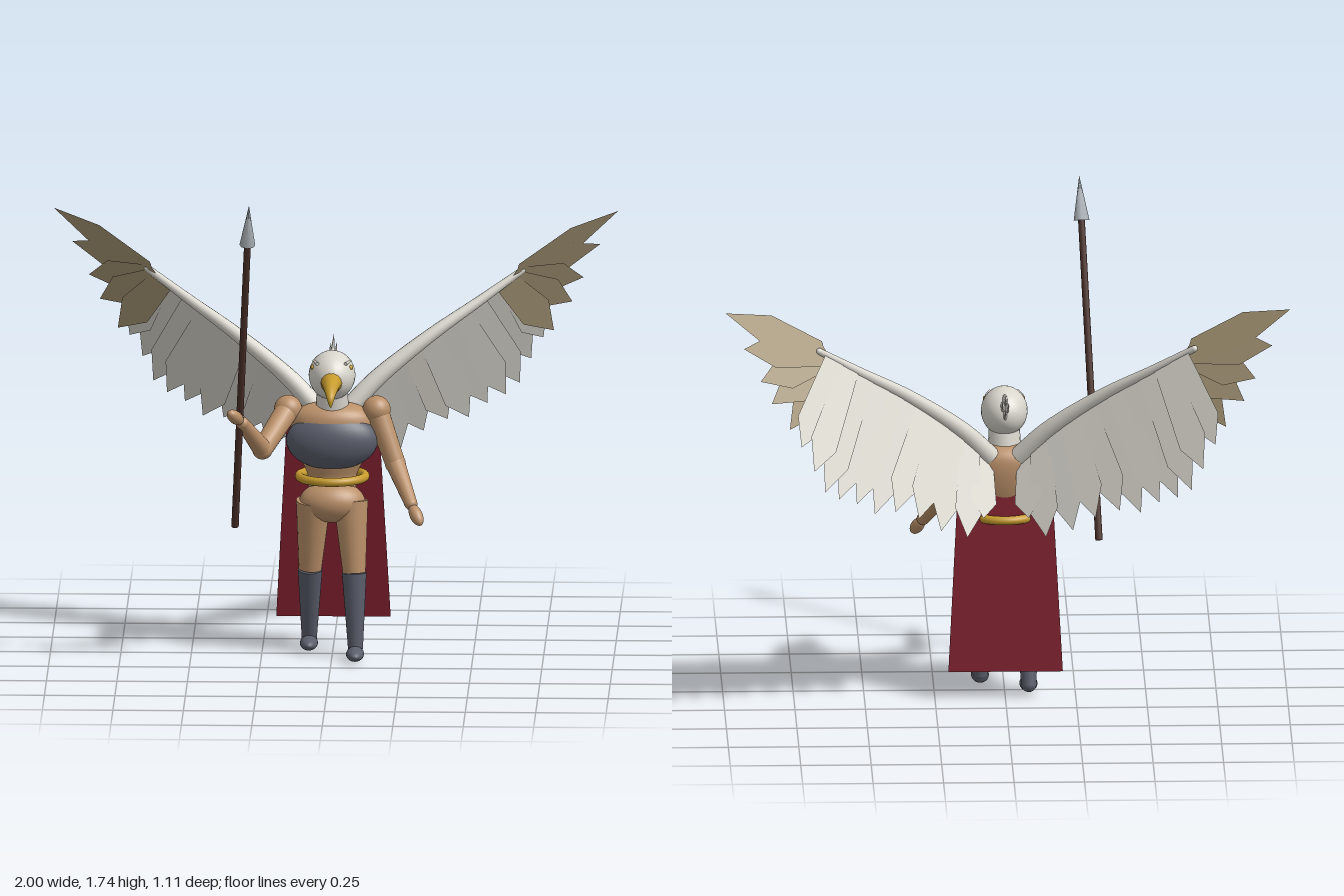
import * as THREE from 'three';

const V = (x, y, z) => new THREE.Vector3(x, y, z);
const mat = (name, color, side = THREE.FrontSide) => {
  const m = new THREE.MeshStandardMaterial({ color, side });
  m.name = name;
  return m;
};

export function createModel() {
  const root = new THREE.Group();
  root.name = 'wingedWarrior';

  const skin = mat('tan skin', 0xba9069);
  const armour = mat('slate armour', 0x5a5e6b);
  const plume = mat('white plumage', 0xd9d6cd, THREE.DoubleSide);
  const brown = mat('brown flight feathers', 0xa59575, THREE.DoubleSide);
  const gold = mat('gold', 0xc79c2e, THREE.DoubleSide);
  const red = mat('red cape', 0x7c1f2c, THREE.DoubleSide);
  const wood = mat('dark wood', 0x4a3029);
  const steel = mat('steel', 0xa9b0b5);

  const add = (parent, name, geo, material) => {
    const m = new THREE.Mesh(geo, material);
    m.name = name;
    parent.add(m);
    return m;
  };
  const part = (name) => {
    const g = new THREE.Group();
    g.name = name;
    root.add(g);
    return g;
  };
  const ellipsoid = (parent, name, c, r, material, dir) => {
    const m = add(parent, name, new THREE.SphereGeometry(1, 28, 18), material);
    m.scale.copy(r);
    m.position.copy(c);
    if (dir) m.quaternion.setFromUnitVectors(V(0, 1, 0), dir.clone().normalize());
    return m;
  };
  // Tapered cylinder from a (radius ra) to b (radius rb)
  const limb = (parent, name, a, b, ra, rb, material, sides = 20) => {
    const d = b.clone().sub(a);
    const m = add(parent, name, new THREE.CylinderGeometry(rb, ra, d.length(), sides), material);
    m.position.copy(a).addScaledVector(d, 0.5);
    m.quaternion.setFromUnitVectors(V(0, 1, 0), d.normalize());
    return m;
  };
  const ball = (parent, name, c, r, material) => ellipsoid(parent, name, c, V(r, r, r), material);
  // Tube along a curve whose radius follows radius(t)
  const taperTube = (curve, radius, segs = 28, sides = 14) => {
    const g = new THREE.TubeGeometry(curve, segs, 1, sides);
    const p = g.attributes.position, v = V(0, 0, 0);
    for (let i = 0; i < p.count; i++) {
      const t = Math.floor(i / (sides + 1)) / segs;
      const c = curve.getPointAt(t);
      v.fromBufferAttribute(p, i).sub(c).multiplyScalar(radius(t)).add(c);
      p.setXYZ(i, v.x, v.y, v.z);
    }
    return g;
  };

  // Torso, breastplate, hips and belt
  const body = part('body');
  const profile = [[0.085, 0.57], [0.085, 0.64], [0.1, 0.68], [0.132, 0.75], [0.147, 0.82], [0.135, 0.875], [0.08, 0.905], [0, 0.91]];
  const torso = add(body, 'torso', new THREE.LatheGeometry(
    new THREE.SplineCurve(profile.map(([x, y]) => new THREE.Vector2(x, y))).getPoints(28), 36), skin);
  torso.scale.z = 0.62;
  torso.position.z = 0.005;
  ellipsoid(body, 'breastplate', V(0, 0.78, 0.037), V(0.163, 0.105, 0.079), armour);
  ellipsoid(body, 'hips', V(0, 0.555, 0.02), V(0.117, 0.074, 0.085), skin);
  const belt = add(body, 'belt', new THREE.TorusGeometry(0.117, 0.016, 12, 44), gold);
  belt.rotation.x = Math.PI / 2;
  belt.position.set(0, 0.648, 0.018);
  limb(body, 'neck', V(0, 0.87, 0.01), V(0, 0.96, 0.025), 0.06, 0.055, plume);

  // Head with hooked beak, eyes and crest
  const head = part('head');
  ellipsoid(head, 'skull', V(0, 1.017, 0.035), V(0.083, 0.087, 0.108), plume);
  const beakPath = new THREE.CatmullRomCurve3([V(0, 1.008, 0.1), V(0, 1.005, 0.15), V(0, 0.988, 0.2), V(0, 0.967, 0.222), V(0, 0.937, 0.219)]);
  add(head, 'beak', taperTube(beakPath, (t) => 0.042 * (1 - t) ** 0.8 + 0.002), gold);
  limb(head, 'lowerBeak', V(0, 0.975, 0.1), V(0, 0.965, 0.185), 0.024, 0.002, gold);
  for (const s of [1, -1]) {
    ellipsoid(head, 'eye', V(s * 0.067, 1.052, 0.073), V(0.008, 0.009, 0.012), gold);
    limb(head, 'brow', V(s * 0.05, 1.07, 0.1), V(s * 0.066, 1.071, 0.045), 0.006, 0.003, plume);
  }
  for (const [x, y, z] of [[0, 1.118, -0.187], [0.012, 1.095, -0.165], [-0.012, 1.09, -0.16], [0, 1.06, -0.14]]) {
    const f = limb(head, 'crestFeather', V(x * 0.5, y - 0.05, -0.03), V(x, y, z), 0.026, 0.001, plume, 10);
    f.scale.x = 0.4;
  }

  // Arms: shoulder, elbow, wrist, hand centre
  const arms = {
    leftArm: [V(0.157, 0.887, 0.01), V(0.225, 0.7, 0.05), V(0.284, 0.582, 0.18), V(0.303, 0.548, 0.212)],
    rightArm: [V(-0.157, 0.887, 0.01), V(-0.243, 0.775, 0.17), V(-0.31, 0.895, 0.298), V(-0.335, 0.924, 0.335)],
  };
  for (const [name, [sh, el, wr, ha]] of Object.entries(arms)) {
    const g = part(name);
    ball(g, 'shoulder', sh, 0.05, skin);
    limb(g, 'upperArm', sh, el, 0.042, 0.036, skin);
    ball(g, 'elbow', el, 0.037, skin);
    limb(g, 'forearm', el, wr, 0.035, 0.023, skin);
    ball(g, 'wrist', wr, 0.023, skin);
    ellipsoid(g, 'hand', ha, V(0.023, 0.045, 0.023), skin, ha.clone().sub(wr));
  }

  // Legs in stride: left forward, right back
  for (const [name, s, kz, az, fy] of [['leftLeg', 1, 0.055, 0.073, 0.024], ['rightLeg', -1, -0.01, -0.078, 0.032]]) {
    const g = part(name);
    const knee = V(s * 0.079, 0.305, kz), ankle = V(s * 0.084, 0.04, az);
    limb(g, 'thigh', V(s * 0.066, 0.56, 0.025), knee, 0.062, 0.041, skin);
    limb(g, 'boot', knee, ankle, 0.044, 0.027, armour);
    ball(g, 'ankle', ankle, 0.027, armour);
    ellipsoid(g, 'foot', V(s * 0.084, fy, az + 0.048), V(0.032, 0.024, 0.07), armour);
  }

  // Cape: flat trapezoid sloping backwards
  const cape = new THREE.BufferGeometry();
  cape.setAttribute('position', new THREE.Float32BufferAttribute(
    [-0.16, 0.9, -0.05, 0.16, 0.9, -0.05, 0.203, 0.105, -0.142, -0.203, 0.105, -0.142], 3));
  cape.setIndex([0, 2, 1, 0, 3, 2]);
  cape.computeVertexNormals();
  add(root, 'cape', cape, red);

  // Spear
  const spear = part('spear');
  limb(spear, 'shaft', V(-0.34, 0.497, 0.182), V(-0.286, 1.6, 0.512), 0.013, 0.012, wood, 12);
  limb(spear, 'spearhead', V(-0.287, 1.585, 0.507), V(-0.28, 1.735, 0.553), 0.028, 0.0005, steel, 8);

  // Wings: curved leading edge with a fan of flat feathers
  const whiteTips = [
    [0.08, 0.69, -0.22], [0.14, 0.64, -0.295], [0.235, 0.675, -0.335], [0.315, 0.73, -0.37], [0.4, 0.765, -0.405],
    [0.475, 0.765, -0.435], [0.54, 0.81, -0.465], [0.605, 0.835, -0.495], [0.655, 0.87, -0.525], [0.695, 0.953, -0.55], [0.74, 1.035, -0.52]];
  const brownTips = [[0.77, 1.085, -0.45], [0.835, 1.185, -0.47], [0.875, 1.27, -0.48], [0.935, 1.39, -0.48], [1.0, 1.515, -0.455]];
  for (const s of [1, -1]) {
    const g = part(s > 0 ? 'leftWing' : 'rightWing');
    const bone = new THREE.CatmullRomCurve3(
      [[0.05, 0.87, -0.05], [0.15, 0.975, -0.085], [0.34, 1.12, -0.155], [0.52, 1.235, -0.235], [0.665, 1.33, -0.3]]
        .map(([x, y, z]) => V(s * x, y, z)));
    add(g, 'leadingEdge', taperTube(bone, (t) => 0.036 - 0.024 * t), plume);
    ball(g, 'wingTipJoint', bone.getPoint(1), 0.012, plume);
    const normal = V(s * -0.169, 0.131, -0.193).normalize();
    const feather = (name, a, tip, width, shoulder, lift, material) => {
      const dir = tip.clone().sub(a);
      const w = normal.clone().cross(dir).normalize();
      const at = (t, k) => a.clone().addScaledVector(dir, t).addScaledVector(w, k * width)
        .addScaledVector(normal, lift);
      const pts = [at(0, -0.35), at(0, 0.35), at(shoulder, 0.5), at(1, 0), at(shoulder, -0.5)];
      const geo = new THREE.BufferGeometry().setFromPoints(pts);
      geo.setIndex([0, 1, 2, 0, 2, 4, 4, 2, 3]);
      geo.computeVertexNormals();
      add(g, name, geo, material);
    };
    whiteTips.forEach(([x, y, z], i) =>
      feather('whiteFeather', bone.getPointAt(0.05 + 0.087 * i), V(s * x, y, z), 0.115, 0.74, 0.001 * i, plume));
    brownTips.forEach(([x, y, z], i) =>
      feather('brownFeather', bone.getPointAt(0.91 + 0.02 * i), V(s * x, y, z), 0.125, i === 4 ? 0.54 : 0.62,
        -0.006 + 0.001 * i, brown));
  }
  return root;
}
